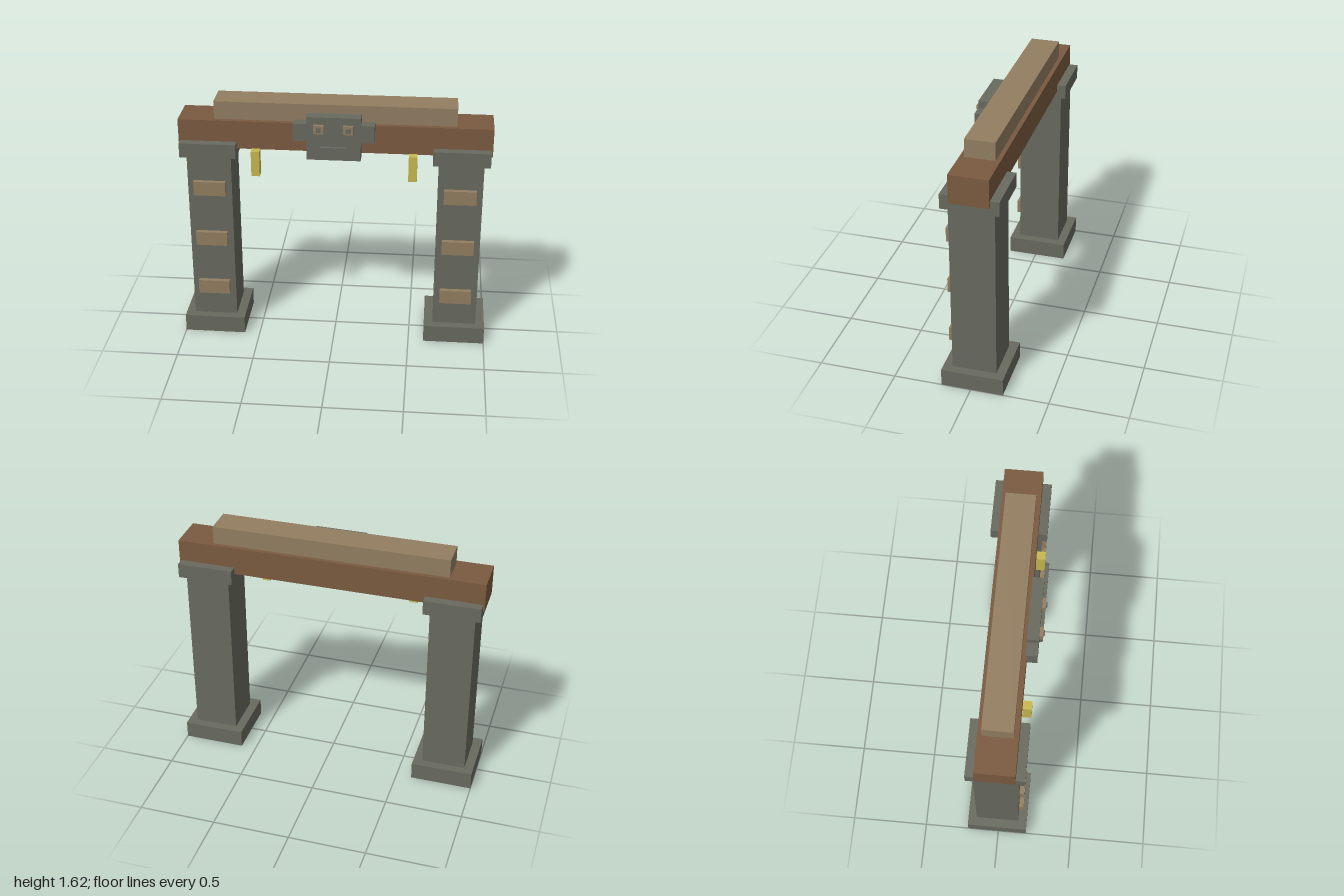
import * as THREE from 'three';

const mat = (name, color) => {
  const m = new THREE.MeshStandardMaterial({ color });
  m.name = name;
  return m;
};

export function createModel() {
  const stone = mat('stone', 0x686a5f);
  const darkWood = mat('darkWood', 0x7b5a40);
  const paleWood = mat('paleWood', 0x937e61);
  const gold = mat('gold', 0xc8b850);

  const gate = new THREE.Group();
  gate.name = 'gate';

  // Box given by its extents along each axis
  const box = (parent, name, material, [x0, x1], [y0, y1], [z0, z1]) => {
    const mesh = new THREE.Mesh(new THREE.BoxGeometry(x1 - x0, y1 - y0, z1 - z0), material);
    mesh.position.set((x0 + x1) / 2, (y0 + y1) / 2, (z0 + z1) / 2);
    mesh.name = name;
    parent.add(mesh);
  };
  const around = (c, half) => [c - half, c + half];

  for (const [side, s] of [['left', 1], ['right', -1]]) {
    // Pillar with base, cap and three front plates
    const pillar = new THREE.Group();
    pillar.name = `${side}Pillar`;
    const x = 0.8 * s;
    box(pillar, 'base', stone, around(x, 0.2), [0, 0.115], [-0.208, 0.19]);
    box(pillar, 'shaft', stone, around(x, 0.142), [0.115, 1.27], [-0.151, 0.133]);
    box(pillar, 'cap', stone, around(x, 0.18), [1.27, 1.365], [-0.189, 0.171]);
    for (const y of [0.328, 0.69, 1.05]) {
      box(pillar, 'plate', paleWood, around(x, 0.103), around(y, 0.047), [0.133, 0.163]);
    }
    gate.add(pillar);

    // Hanging lantern in front of the beam
    box(gate, `${side}Lantern`, gold, around(0.496 * s, 0.027), [1.158, 1.325], [0.114, 0.171]);
  }

  // Lintel beams
  box(gate, 'beam', darkWood, [-0.99, 0.99], [1.32, 1.505], [-0.132, 0.114]);
  box(gate, 'ridgeBeam', paleWood, [-0.762, 0.762], [1.505, 1.622], [-0.105, 0.084]);

  // Carved mask: a stepped slab with eyes and mouth
  const mask = new THREE.Group();
  mask.name = 'mask';
  const outline = [[-0.17, 1.29], [0.17, 1.29], [0.17, 1.413], [0.255, 1.413], [0.255, 1.528], [0.17, 1.528],
    [0.17, 1.575], [-0.17, 1.575], [-0.17, 1.528], [-0.255, 1.528], [-0.255, 1.413], [-0.17, 1.413]];
  const slab = new THREE.Mesh(
    new THREE.ExtrudeGeometry(new THREE.Shape(outline.map(([x, y]) => new THREE.Vector2(x, y))),
      { depth: 0.072, bevelEnabled: false }), stone);
  slab.position.z = 0.107;
  slab.name = 'slab';
  mask.add(slab);
  for (const s of [1, -1]) {
    box(mask, 'eye', paleWood, around(0.092 * s, 0.032), around(1.5, 0.027), [0.179, 0.202]);
    box(mask, 'pupil', stone, around(0.092 * s, 0.014), around(1.5, 0.014), [0.202, 0.21]);
  }
  box(mask, 'mouth', stone, [-0.085, 0.085], [1.328, 1.382], [0.179, 0.2]);
  gate.add(mask);

  return gate;
}
